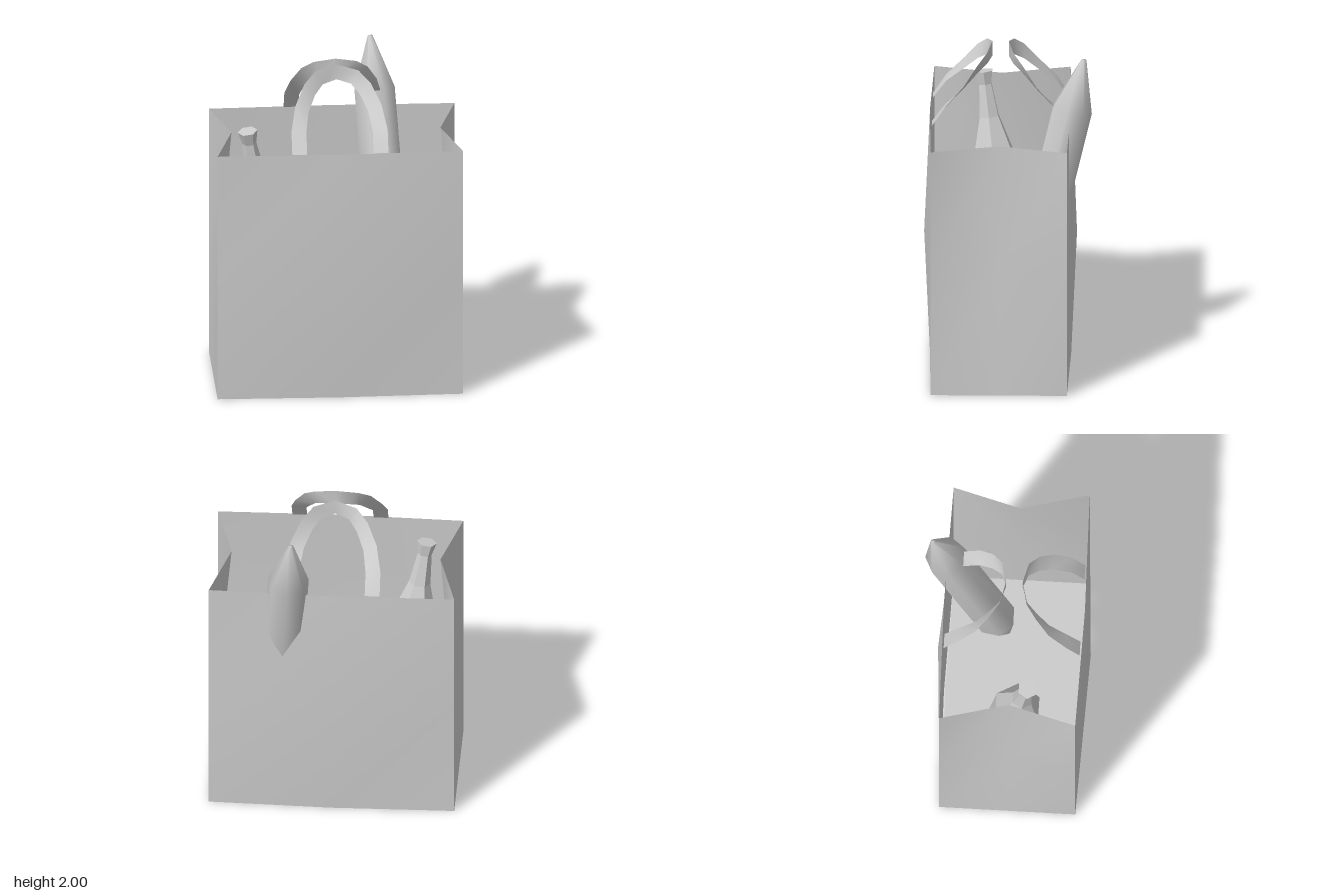
import * as THREE from 'three';

const W = 0.74, H = 1.56, FRONT = 0.46, BACK = -0.36, MID = 0.05;

// Smooth sheet from equal rows of [x, y, z] points
function sheet(rows) {
  const n = rows[0].length, index = [];
  for (let r = 0; r < rows.length - 1; r++) {
    for (let c = 0; c < n - 1; c++) {
      const a = r * n + c, b = a + 1, d = a + n, e = d + 1;
      index.push(a, b, e, a, e, d);
    }
  }
  const g = new THREE.BufferGeometry();
  g.setAttribute('position', new THREE.Float32BufferAttribute(rows.flat(2), 3));
  g.setIndex(index);
  g.computeVertexNormals();
  return g;
}

// Turned shape whose profile [radius, distance] runs from base to top along a tilted axis
function turned(profile, sides, phi, base, top) {
  const g = new THREE.LatheGeometry(profile.map(([r, y]) => new THREE.Vector2(r, y)), sides, phi);
  const axis = top.clone().sub(base).normalize();
  g.applyQuaternion(new THREE.Quaternion().setFromUnitVectors(new THREE.Vector3(0, 1, 0), axis));
  g.translate(base.x, base.y, base.z);
  return g;
}

export function createModel() {
  const group = new THREE.Group();
  const grey = new THREE.MeshStandardMaterial({ color: 0xcccccc, side: THREE.DoubleSide });
  grey.name = 'light grey';
  const add = (name, geometry) => {
    const mesh = new THREE.Mesh(geometry, grey);
    mesh.name = name;
    group.add(mesh);
  };

  // Front and back panels, bulging most at mid height
  const levels = [0, H / 2, H];
  const bulge = [0.015, 0.05, 0.015];
  for (const [name, z, s] of [['frontPanel', FRONT, 1], ['backPanel', BACK, -1]]) {
    add(name, sheet(levels.map((y, i) => [[-W * s, y, z], [0, y, z + s * bulge[i]], [W * s, y, z]])));
  }

  // Side panels, folding inward towards the rim
  const fold = [W, 0.70, 0.63];
  for (const [name, s] of [['leftPanel', 1], ['rightPanel', -1]]) {
    const near = s > 0 ? FRONT : BACK, far = s > 0 ? BACK : FRONT;
    add(name, sheet(levels.map((y, i) => [[s * W, y, near], [s * fold[i], y, MID], [s * W, y, far]])));
  }
  add('floor', sheet([[[-W, 0, BACK], [W, 0, BACK]], [[-W, 0, FRONT], [W, 0, FRONT]]]));

  // Ribbon handles: [outer x, outer y, inner x, inner y, distance in from the rim]
  const half = [
    [0.29, 1.56, 0.20, 1.56, 0], [0.29, 1.68, 0.20, 1.67, 0.08], [0.26, 1.80, 0.18, 1.76, 0.19],
    [0.20, 1.91, 0.135, 1.84, 0.27], [0.13, 1.97, 0.085, 1.885, 0.33], [0, 2.0, 0, 1.905, 0.36],
  ];
  const arch = [...half, ...half.slice(0, -1).reverse().map(([a, b, c, d, e]) => [-a, b, -c, d, e])];
  for (const [name, z, s] of [['frontHandle', FRONT, -1], ['backHandle', BACK, 1]]) {
    add(name, sheet([
      arch.map(([x, y, , , d]) => [x, y, z + s * d]),
      arch.map(([, , x, y, d]) => [x, y, z + s * d]),
    ]));
  }

  // Pointed loaf leaning out through the back
  add('loaf', turned(
    [[0, 0], [0.015, 0], [0.125, 0.32], [0.125, 1.60], [0.015, 1.92], [0, 1.92]], 7, Math.PI,
    new THREE.Vector3(0.365, 0.11, -0.01), new THREE.Vector3(0.238, 1.97, -0.455)));

  // Six-sided bottle leaning in the corner
  const bottle = turned(
    [[0, 0], [0.14, 0], [0.15, 0.80], [0.065, 1.08], [0.042, 1.28], [0.06, 1.36], [0, 1.36]], 6, Math.PI / 2,
    new THREE.Vector3(-0.345, 0.27, 0), new THREE.Vector3(-0.54, 1.605, 0.16)).toNonIndexed();
  bottle.computeVertexNormals();
  add('bottle', bottle);

  return group;
}
